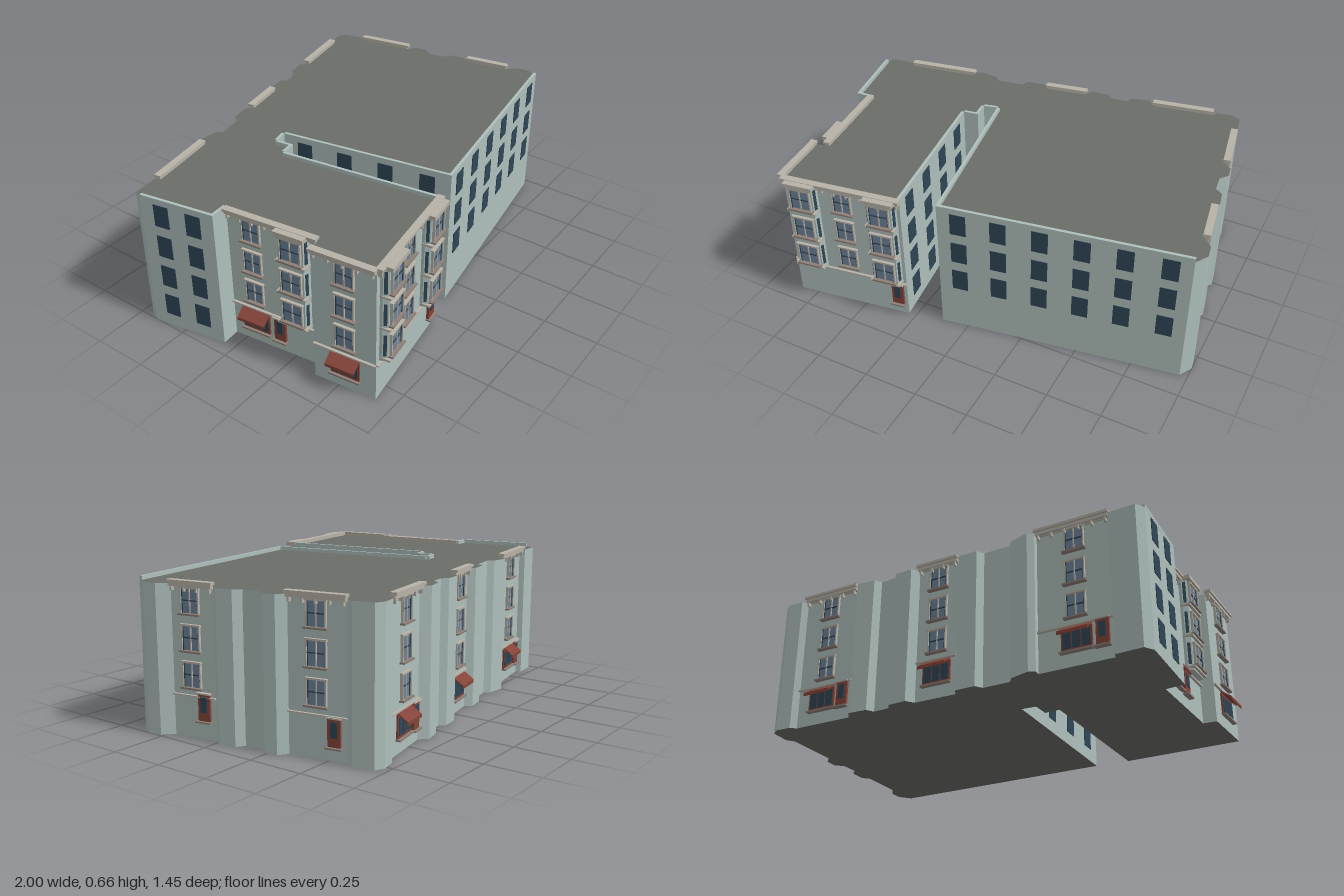
import * as THREE from 'three';

const mat = (color) => new THREE.MeshStandardMaterial({ color, flatShading: true });
const M = {
  wall: mat(0xaebfbb), roof: mat(0x6b6d68), trim: mat(0xb7b2a8), frame: mat(0x8d7f78),
  glass: mat(0x6c8299), dark: mat(0x2e4555), red: mat(0x85443a),
};
const FLOORS = [0.27, 0.425, 0.58]; // centres of the upper window rows
const WIN_H = 0.106, ROOF = 0.645, BELT = 0.18;

// Outline of the plan as x, z pairs, back-left corner first, along the back
const PLAN = [
  [-1, -0.405], [-0.98, -0.45], [-0.86, -0.465], [-0.85, -0.44], [-0.525, -0.495], [-0.53, -0.52],
  [-0.505, -0.54], [-0.415, -0.53], [-0.39, -0.505], [-0.265, -0.525], [-0.25, -0.56], [-0.16, -0.575],
  [-0.135, -0.545], [0.06, -0.58], [0.08, -0.62], [0.165, -0.63], [0.19, -0.605], [0.265, -0.615],
  [0.28, -0.65], [0.365, -0.67], [0.40, -0.635], [0.68, -0.685], [0.70, -0.71], [0.77, -0.725],
  [0.81, -0.705], [0.83, -0.615], [0.81, -0.58], [0.855, -0.325], [0.895, -0.295], [0.905, -0.24],
  [0.875, -0.20], [0.885, -0.12], [0.92, -0.095], [0.935, -0.02], [0.91, 0.015], [0.945, 0.22],
  [0.99, 0.265], [1.0, 0.325], [0.965, 0.385], [-0.125, 0.555], [-0.26, -0.25], [-0.325, -0.235],
  [-0.315, -0.155], [-0.385, -0.145], [-0.285, 0.59], [-0.835, 0.67], [-0.865, 0.385], [-0.805, 0.37],
  [-0.855, -0.06], [-0.94, -0.055],
];

function box(parent, name, w, h, d, x, y, z, material) {
  const mesh = new THREE.Mesh(new THREE.BoxGeometry(w, h, d), material);
  mesh.name = name;
  mesh.position.set(x, y, z);
  parent.add(mesh);
  return mesh;
}

// Extrudes an x, z outline upwards from y0
function prism(parent, name, points, y0, h, materials) {
  const shape = new THREE.Shape(points.map(([x, z]) => new THREE.Vector2(x, -z)));
  const geo = new THREE.ExtrudeGeometry(shape, { depth: h, bevelEnabled: false });
  geo.rotateX(-Math.PI / 2);
  const mesh = new THREE.Mesh(geo, materials);
  mesh.name = name;
  mesh.position.y = y0;
  parent.add(mesh);
}

// Group on a wall from a to b (left to right seen from outside): x along it, z outward
function onWall(parent, name, a, b) {
  const g = new THREE.Group();
  const dx = b[0] - a[0], dz = b[1] - a[1];
  g.name = name;
  g.position.set(a[0], 0, a[1]);
  g.rotation.y = Math.atan2(-dz, dx);
  g.userData.length = Math.hypot(dx, dz);
  parent.add(g);
  return g;
}

// Double sash window with glazing bars, head and sill
function sashWindow(g, u, y, w, z = 0) {
  const win = new THREE.Group();
  win.name = 'sashWindow';
  win.position.set(u, y, z);
  g.add(win);
  box(win, 'glass', w, WIN_H, 0.004, 0, 0, 0.002, M.glass);
  for (const s of [-1, 1]) {
    box(win, 'jamb', 0.006, WIN_H, 0.012, s * w / 2, 0, 0.006, M.trim);
    box(win, 'sashSide', 0.004, WIN_H, 0.007, s * (w / 2 - 0.005), 0, 0.0035, M.dark);
  }
  box(win, 'mullion', 0.005, WIN_H, 0.009, 0, 0, 0.0045, M.trim);
  box(win, 'meetingRail', w, 0.005, 0.008, 0, 0, 0.004, M.dark);
  box(win, 'head', w + 0.012, 0.008, 0.014, 0, WIN_H / 2, 0.007, M.trim);
  box(win, 'sill', w + 0.02, 0.008, 0.02, 0, -WIN_H / 2 - 0.004, 0.01, M.frame);
}

function door(g, u, y0) {
  const h = 0.118;
  box(g, 'door', 0.056, h, 0.012, u, y0 + h / 2, 0.006, M.red);
  box(g, 'doorGlass', 0.03, 0.065, 0.004, u, y0 + 0.07, 0.013, M.dark);
  box(g, 'doorHead', 0.066, 0.006, 0.02, u, y0 + h, 0.01, M.trim);
  box(g, 'doorStep', 0.07, 0.007, 0.025, u, y0 - 0.003, 0.0125, M.frame);
}

// Shop window under a sloping awning
function shopfront(g, u) {
  const w = 0.135;
  box(g, 'shopFrame', w, 0.1, 0.008, u, 0.115, 0.004, M.red);
  for (const s of [-1, 0, 1]) box(g, 'shopGlass', 0.036, 0.075, 0.004, u + s * 0.042, 0.115, 0.008, M.dark);
  box(g, 'shopSill', w + 0.01, 0.008, 0.02, u, 0.062, 0.01, M.frame);
  const slope = box(g, 'awning', w, 0.005, 0.06, u, 0.157, 0.026, M.red);
  slope.rotation.x = 0.62;
  box(g, 'awningValance', w, 0.014, 0.004, u, 0.134, 0.05, M.red);
}

// Projecting bay through the three upper floors
function bay(g, u) {
  const d = 0.036;
  prism(g, 'bayWindow', [[u - 0.068, 0], [u - 0.068, 0.012], [u - 0.058, d], [u + 0.058, d], [u + 0.068, 0.012], [u + 0.068, 0]],
    0.19, ROOF - 0.19, M.wall);
  for (const y of FLOORS) {
    sashWindow(g, u, y, 0.096, d);
    for (const s of [-1, 1]) box(g, 'baySideGlass', 0.004, WIN_H, 0.014, u + s * 0.0635, y, 0.023, M.dark).rotation.y = -s * 0.39;
    box(g, 'baySill', 0.14, 0.01, d + 0.012, u, y - 0.068, (d + 0.012) / 2, M.trim);
  }
  box(g, 'bayCornice', 0.14, 0.02, d + 0.02, u, 0.652, (d + 0.02) / 2, M.trim);
}

// Ornate facade with cornice, belt course, windows, bays, shops and doors
function facade(parent, name, a, b, { windows = [], bays = [], shops = [], doors = [], doorY = 0.06 }) {
  const g = onWall(parent, name, a, b);
  const L = g.userData.length;
  box(g, 'cornice', L + 0.01, 0.012, 0.032, L / 2, 0.658, 0.012, M.trim);
  box(g, 'corniceMoulding', L, 0.016, 0.022, L / 2, 0.645, 0.009, M.trim);
  box(g, 'frieze', L, 0.005, 0.008, L / 2, 0.636, 0.004, M.trim);
  const n = Math.max(3, Math.round(L / 0.065));
  for (let i = 0; i <= n; i++) {
    box(g, 'corniceBracket', 0.008, 0.022, 0.018, 0.012 + (L - 0.024) * i / n, 0.628, 0.009, M.trim);
  }
  box(g, 'beltCourse', L, 0.007, 0.012, L / 2, BELT, 0.006, M.trim);
  for (const f of windows) for (const y of FLOORS) sashWindow(g, f * L, y, 0.085);
  for (const f of bays) bay(g, f * L);
  for (const f of shops) shopfront(g, f * L);
  for (const f of doors) door(g, f * L, doorY);
}

// Plain wall with flush dark windows and a low parapet
function plainWall(parent, name, a, b, columns, rows) {
  const g = onWall(parent, name, a, b);
  const L = g.userData.length;
  box(g, 'parapet', L, 0.02, 0.014, L / 2, 0.652, -0.0065, M.wall);
  for (const f of columns) for (const y of rows) box(g, 'plainWindow', 0.072, WIN_H, 0.004, f * L, y, 0.001, M.dark);
}

export function createModel() {
  const model = new THREE.Group();
  model.name = 'cornerBuilding';
  prism(model, 'buildingBody', PLAN, 0, ROOF, [M.roof, M.wall]);

  // Back
  facade(model, 'backFacadeLeft', [0.68, -0.685], [0.40, -0.635], { windows: [0.5], shops: [0.46], doors: [0.85] });
  facade(model, 'backFacadeMiddle', [0.06, -0.58], [-0.135, -0.545], { windows: [0.52], shops: [0.53] });
  facade(model, 'backFacadeRight', [-0.525, -0.495], [-0.85, -0.44], { windows: [0.52], shops: [0.52], doors: [0.86] });
  // Left side, towards +x
  facade(model, 'sideFacadeRear', [0.855, -0.325], [0.81, -0.58], { windows: [0.49], doors: [0.79] });
  facade(model, 'sideFacadeFront', [0.945, 0.22], [0.91, 0.015], { windows: [0.46], doors: [0.74], doorY: 0.08 });
  // Wing: front and outer side
  facade(model, 'wingFront', [-0.835, 0.67], [-0.285, 0.59], { windows: [0.5], bays: [0.17, 0.85], doors: [0.92] });
  facade(model, 'wingSideRear', [-0.855, -0.06], [-0.805, 0.37], { windows: [0.27], bays: [0.755], shops: [0.27], doors: [0.55] });
  facade(model, 'wingSideFront', [-0.865, 0.385], [-0.835, 0.67], { windows: [0.51], shops: [0.51] });

  // Plain walls, courtyard and light well
  const all = [0.115, ...FLOORS], four = [0.13, 0.375, 0.62, 0.865];
  plainWall(model, 'frontWall', [-0.125, 0.555], [0.965, 0.385], [0.087, 0.25, 0.417, 0.583, 0.748, 0.917], FLOORS);
  plainWall(model, 'courtWallMain', [-0.26, -0.25], [-0.125, 0.555], four, all);
  plainWall(model, 'courtWallWing', [-0.285, 0.59], [-0.385, -0.145], four, all);
  plainWall(model, 'lightWellBack', [-0.325, -0.235], [-0.26, -0.25], [], []);
  plainWall(model, 'lightWellSide', [-0.315, -0.155], [-0.325, -0.235], [], []);
  plainWall(model, 'lightWellFront', [-0.385, -0.145], [-0.315, -0.155], [], []);
  plainWall(model, 'endWall', [-1, -0.405], [-0.94, -0.055], [0.28, 0.72], all);
  plainWall(model, 'endWallReturn', [-0.94, -0.055], [-0.855, -0.06], [], []);
  return model;
}
